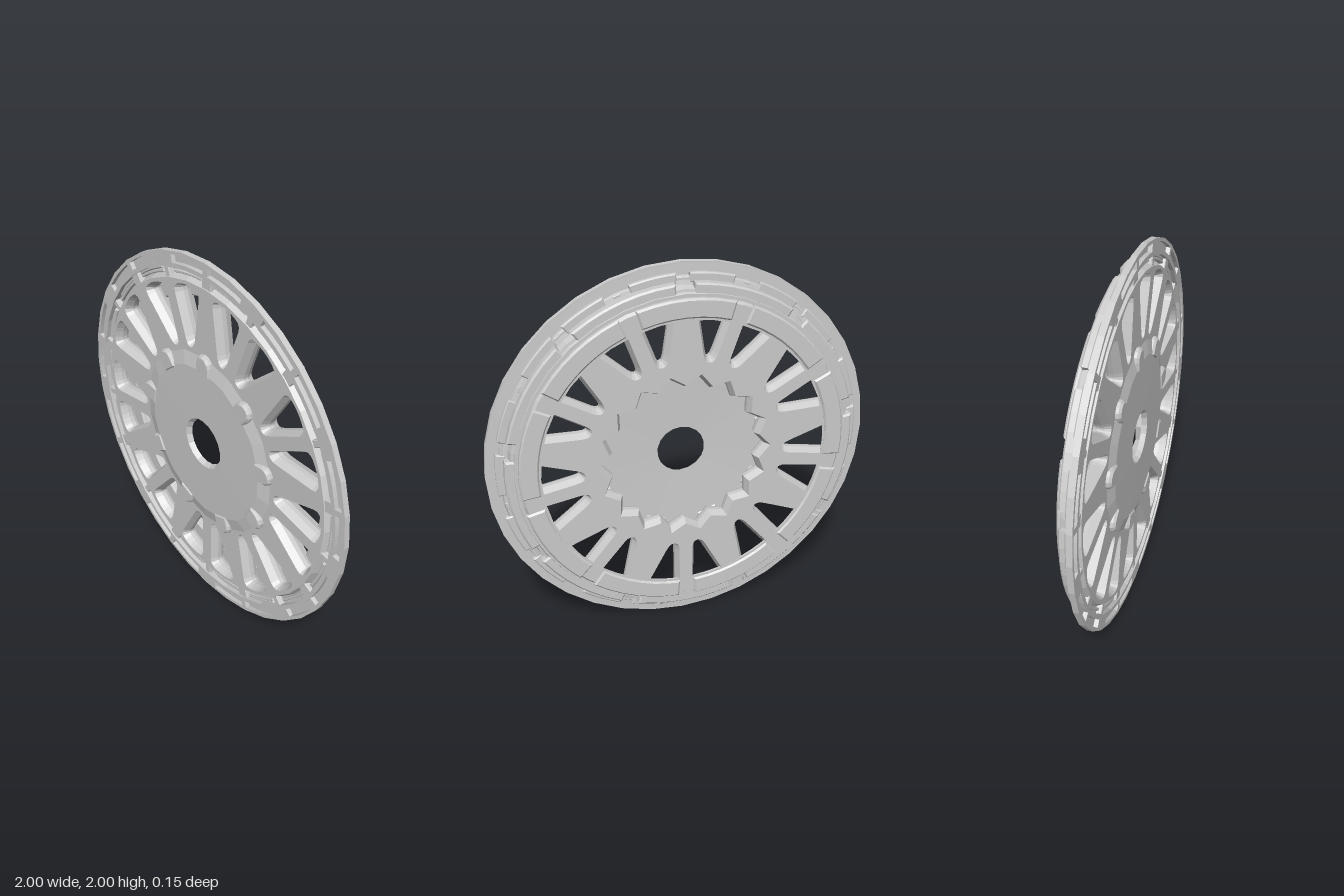
import * as THREE from 'three';

const SPOKES = 9;
const STEP = (Math.PI * 2) / SPOKES;
const TOP = Math.PI / 2;
const rad = THREE.MathUtils.degToRad;
const polar = (r, a) => new THREE.Vector2(r * Math.cos(a), r * Math.sin(a));

// Closed path through points, each corner rounded by a small curve
function roundedPath(points, radius) {
  const path = new THREE.Path();
  points.forEach((p, i) => {
    const prev = points[(i + points.length - 1) % points.length];
    const next = points[(i + 1) % points.length];
    const toward = (q) => p.clone().lerp(q, Math.min(0.45, radius / p.distanceTo(q)));
    const a = toward(prev), b = toward(next);
    if (i === 0) path.moveTo(a.x, a.y); else path.lineTo(a.x, a.y);
    path.quadraticCurveTo(p.x, p.y, b.x, b.y);
  });
  path.closePath();
  return path;
}

// Points of an arc-shaped patch between two radii and two angles
function arcPoints(r0, r1, a0, a1, n = 4) {
  const pts = [];
  for (let i = 0; i <= n; i++) pts.push(polar(r1, a0 + ((a1 - a0) * i) / n));
  for (let i = n; i >= 0; i--) pts.push(polar(r0, a0 + ((a1 - a0) * i) / n));
  return pts;
}

const ringPoints = (n, radiusAt) =>
  Array.from({ length: n }, (_, i) => polar(radiusAt(i), TOP + (i * Math.PI * 2) / n));

// Extrusion that fills z0..z1 exactly, chamfers included
function slab(shape, z0, z1, chamfer = 0, chamferDepth = chamfer) {
  const geometry = new THREE.ExtrudeGeometry(shape, {
    depth: z1 - z0 - 2 * chamferDepth,
    bevelEnabled: chamfer > 0,
    bevelSize: chamfer,
    bevelThickness: chamferDepth,
    bevelSegments: 1,
    curveSegments: 3,
  });
  return geometry.translate(0, 0, z0 + chamferDepth);
}

// Lathe around z from [radius, z] pairs
function turned(profile, sides) {
  const pts = profile.map(([r, z]) => new THREE.Vector2(r, z));
  return new THREE.LatheGeometry(pts, sides).rotateX(Math.PI / 2);
}

// Window between a broad spoke (at angle a) and the slim spoke beside it
function windowPath(a, side) {
  const at = (axis, r, offset) =>
    new THREE.Vector2(r, offset * side).rotateAround(new THREE.Vector2(), a + side * axis);
  const half = STEP / 2;
  return roundedPath([
    at(0, 0.51, 0.093),
    at(0, 0.835, 0.045),
    at(half / 2, 0.85, 0),
    at(half, 0.835, -0.034),
    at(half, 0.52, -0.036),
  ], 0.045);
}

export function createModel() {
  const wheel = new THREE.Group();
  wheel.name = 'wheelCover';
  const body = new THREE.Group();
  body.name = 'body';
  body.position.y = 1;
  wheel.add(body);

  const material = new THREE.MeshStandardMaterial({ color: 0xcccccc, flatShading: true });
  const add = (name, geometry) => {
    const mesh = new THREE.Mesh(geometry, material);
    mesh.name = name;
    body.add(mesh);
    return mesh;
  };

  // Spokes: one chamfered plate pierced by pairs of windows, open behind the hub
  const plate = new THREE.Shape(ringPoints(36, () => 0.865));
  for (let i = 0; i < SPOKES; i++) {
    for (const side of [-1, 1]) plate.holes.push(windowPath(TOP + i * STEP, side));
  }
  plate.holes.push(new THREE.Path(ringPoints(36, (i) => (i % 2 ? 0.455 : 0.4))));
  add('spokes', slab(plate, -0.05, 0.05, 0.018, 0.038));

  // Hub: thin shallow dish with a central bore
  add('hub', turned([
    [0.125, 0.045], [0.48, 0.035], [0.5, 0.052], [0.43, 0.07], [0.14, 0.072], [0.125, 0.045],
  ], 18));

  // Rim: stepped shell falling back from the flange to the rear ring
  add('rim', turned([
    [0.74, -0.065], [0.835, -0.065], [0.855, -0.04], [0.885, -0.035], [0.895, 0.0],
    [0.93, 0.008], [0.935, 0.022], [0.992, 0.024], [0.992, 0.031], [0.925, 0.031],
    [0.918, 0.015], [0.875, 0.015], [0.86, -0.03], [0.765, -0.042], [0.74, -0.065],
  ], 36));

  // Front flange with a recessed pocket on each side of every broad spoke
  const flange = new THREE.Shape(ringPoints(36, () => 1));
  flange.holes.push(new THREE.Path(ringPoints(36, () => 0.918)));
  for (let i = 0; i < SPOKES; i++) {
    const a = TOP + i * STEP;
    flange.holes.push(new THREE.Path(arcPoints(0.938, 0.98, a + rad(1), a + rad(15.5))));
    flange.holes.push(new THREE.Path(arcPoints(0.938, 0.98, a - rad(15.5), a - rad(1))));
  }
  add('flange', slab(flange, 0.024, 0.054));

  // A chamfered pad on the rim, centred on an angle
  const pad = (name, r0, r1, angle, halfAngle, z0, z1, chamfer) => {
    const c = chamfer;
    const inset = c / r1;
    const pts = arcPoints(r0 + c, r1 - c, angle - halfAngle + inset, angle + halfAngle - inset, 6);
    add(name, slab(new THREE.Shape(pts), z0, z1, c));
  };

  for (let i = 0; i < SPOKES; i++) {
    const broad = TOP + i * STEP;
    const slim = broad + STEP / 2;

    // Stepped pads on the back of the rim
    pad('rearPad', 0.75, 0.848, broad, rad(17), -0.075, -0.03, 0.009);
    pad('middlePad', 0.855, 0.912, slim, rad(17), -0.046, 0.016, 0.009);
    for (const side of [-1, 1]) {
      pad('outerPad', 0.9, 0.95, broad + side * rad(9), rad(7), 0.0, 0.03, 0.006);
    }

    // Ribs bridging the groove between spokes and flange
    pad('broadRib', 0.855, 0.93, broad, rad(2.2), 0.005, 0.046, 0.004);
    pad('slimRib', 0.855, 0.93, slim, rad(1.2), 0.005, 0.046, 0.004);
    for (const side of [-1, 1]) {
      pad('grooveLip', 0.885, 0.9, broad + side * rad(10), rad(7), 0.005, 0.036, 0.003);
    }

    // Arched boss on the hub edge at every broad spoke
    const boss = new THREE.Shape();
    boss.moveTo(0.42, -0.042);
    boss.lineTo(0.465, -0.042);
    boss.absarc(0.465, 0, 0.042, -Math.PI / 2, Math.PI / 2, false);
    boss.lineTo(0.42, 0.042);
    boss.closePath();
    add('hubBoss', slab(boss, 0.025, 0.077, 0.012)).rotation.z = broad;
  }

  return wheel;
}
